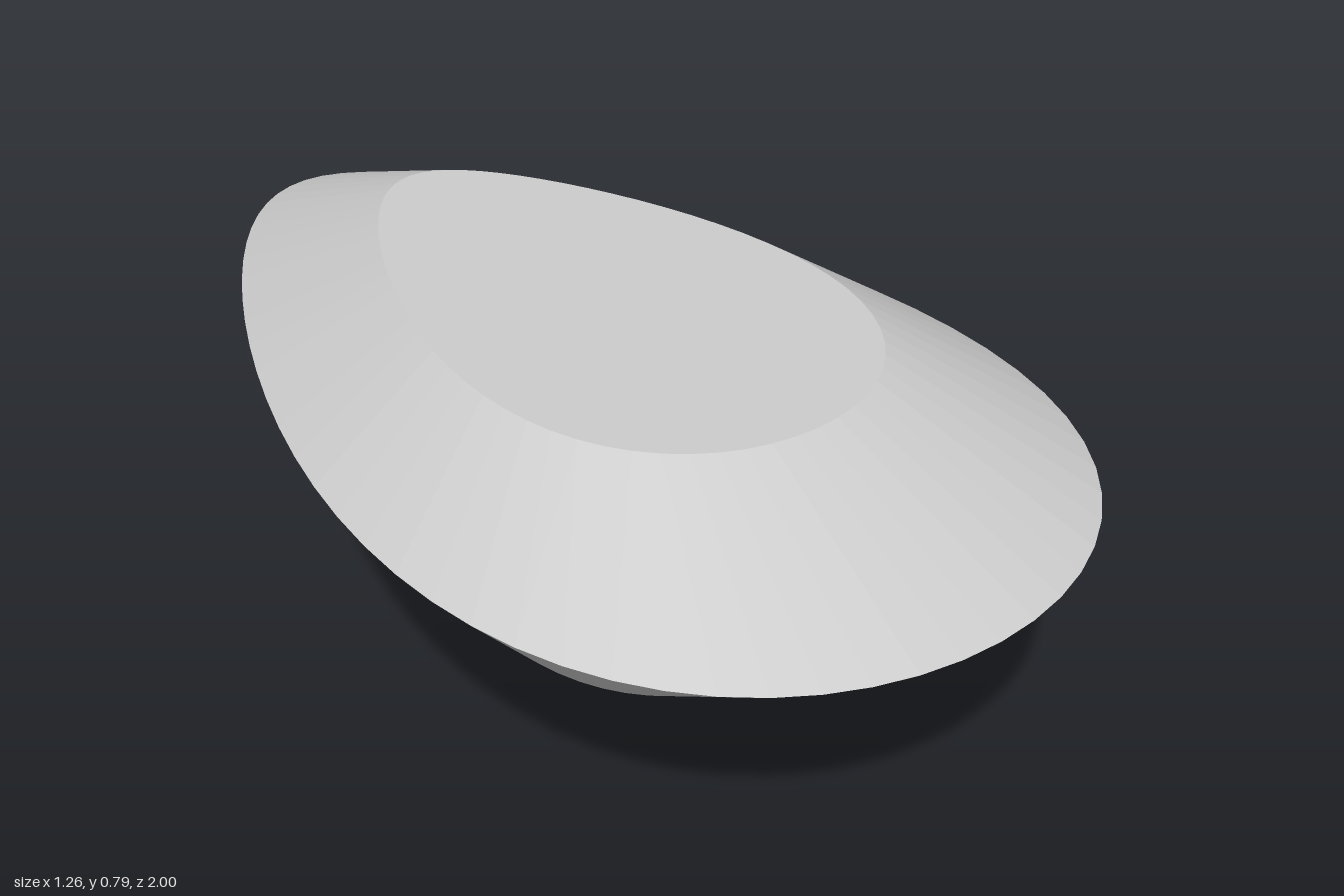
import * as THREE from 'three';

const SEGMENTS = 64;
const material = new THREE.MeshStandardMaterial({ color: 0xcccccc, flatShading: true });

// Turn a round ring into a pear: narrow towards -z, full towards +z
function pearShape(geometry) {
  const p = geometry.attributes.position;
  for (let i = 0; i < p.count; i++) {
    const x = p.getX(i), z = p.getZ(i);
    const r = Math.hypot(x, z);
    if (r > 0) p.setX(i, x * 0.6 * (1 + 0.33 * z / r));
  }
  geometry.computeVertexNormals();
  return geometry;
}

// One sloping band of the gem between two heights
function band(name, y0, r0, y1, r1) {
  const geometry = new THREE.CylinderGeometry(r1, r0, y1 - y0, SEGMENTS, 1, true);
  geometry.translate(0, (y0 + y1) / 2, 0);
  const mesh = new THREE.Mesh(pearShape(geometry), material);
  mesh.name = name;
  return mesh;
}

// Flat pear-shaped face, facing up (dir = 1) or down (dir = -1)
function flatFace(name, y, r, dir) {
  const geometry = new THREE.CircleGeometry(r, SEGMENTS, Math.PI / 2);
  geometry.rotateX(-dir * Math.PI / 2).translate(0, y, 0);
  const mesh = new THREE.Mesh(pearShape(geometry), material);
  mesh.name = name;
  return mesh;
}

export function createModel() {
  const gem = new THREE.Group();
  gem.name = 'pearCutGem';
  gem.add(
    flatFace('culet', 0, 0.04, -1),
    band('lowerPavilion', 0, 0.04, 0.25, 0.525),
    band('upperPavilion', 0.25, 0.525, 0.613, 1),
    band('crown', 0.613, 1, 0.786, 0.58),
    flatFace('table', 0.786, 0.58, 1),
  );
  return gem;
}
